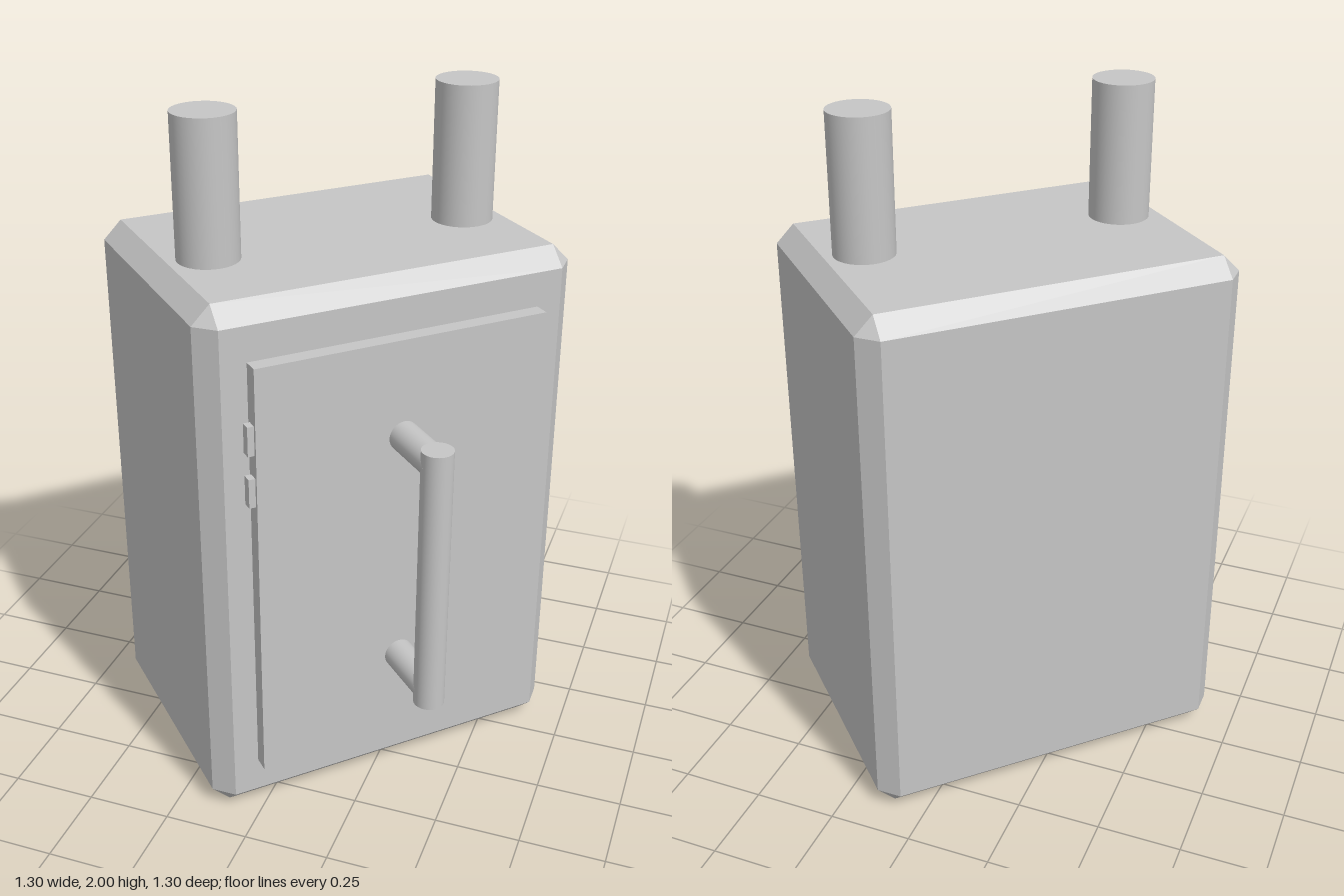
import * as THREE from 'three';
import { ConvexGeometry } from 'three/addons/geometries/ConvexGeometry.js';

export function createModel() {
  const model = new THREE.Group();
  model.name = 'cabinet';
  const grey = new THREE.MeshStandardMaterial({ color: 0xc6c6c6 });
  grey.name = 'light grey';

  // The whole cabinet stands turned by an eighth of a circle
  const cabinet = new THREE.Group();
  cabinet.name = 'turnedCabinet';
  cabinet.rotation.y = Math.PI / 4;
  model.add(cabinet);

  const add = (name, geometry, x, y, z) => {
    const mesh = new THREE.Mesh(geometry, grey);
    mesh.name = name;
    mesh.position.set(x, y, z);
    cabinet.add(mesh);
    return mesh;
  };

  // Body: a box with every edge chamfered, three points per corner
  const W = 0.562, H = 0.797, D = 0.41, c = 0.053;
  const corners = [];
  for (const sx of [-1, 1]) for (const sy of [-1, 1]) for (const sz of [-1, 1]) {
    corners.push(
      new THREE.Vector3(sx * W, sy * (H - c), sz * (D - c)),
      new THREE.Vector3(sx * (W - c), sy * H, sz * (D - c)),
      new THREE.Vector3(sx * (W - c), sy * (H - c), sz * D));
  }
  add('body', new ConvexGeometry(corners), 0, H, 0);

  // Pipes on the top
  for (const [side, s] of [['left', 1], ['right', -1]]) {
    add(side + 'Pipe', new THREE.CylinderGeometry(0.089, 0.089, 0.407, 32), s * 0.394, 1.7965, 0.051);
  }

  // Door panel
  add('door', new THREE.BoxGeometry(0.87, 1.282, 0.048), 0, 0.799, 0.432);

  // Hinges on the door's edge
  for (const [name, y] of [['upperHinge', 1.232], ['lowerHinge', 1.078]]) {
    add(name, new THREE.BoxGeometry(0.024, 0.086, 0.028), -0.442, y, 0.433);
  }

  // Handle: an upright bar on two round arms
  const r = 0.0445;
  add('handleBar', new THREE.CylinderGeometry(r, r, 0.808, 32), 0, 0.796, 0.641);
  for (const [name, y] of [['upperHandleArm', 1.155], ['lowerHandleArm', 0.437]]) {
    const arm = add(name, new THREE.CylinderGeometry(r, r, 0.19, 32), 0, y, 0.545);
    arm.rotation.x = Math.PI / 2;
  }
  return model;
}
